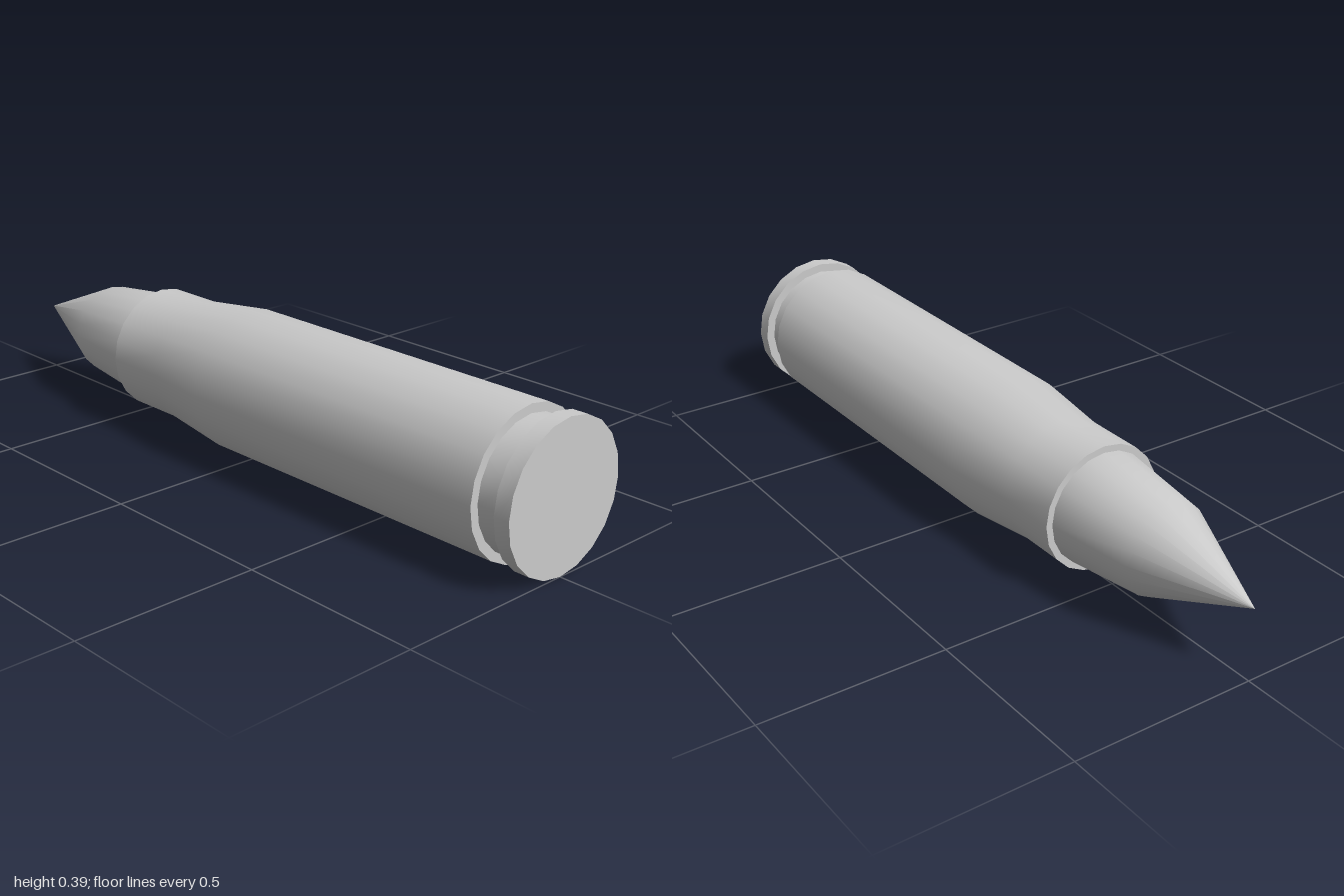
import * as THREE from 'three';
import { toCreasedNormals } from 'three/addons/utils/BufferGeometryUtils.js';

const SIDES = 20;
const RADIUS = 0.197;

const material = new THREE.MeshStandardMaterial({ color: 0xcccccc, side: THREE.DoubleSide });

// Turned part along the x axis; profile is a list of [x, radius] from nose to base
function turned(name, profile) {
  const points = profile.map(([x, r]) => new THREE.Vector2(r, x));
  const geometry = new THREE.LatheGeometry(points, SIDES);
  geometry.rotateZ(-Math.PI / 2);
  const mesh = new THREE.Mesh(toCreasedNormals(geometry, THREE.MathUtils.degToRad(40)), material);
  mesh.name = name;
  mesh.position.y = RADIUS;
  return mesh;
}

export function createModel() {
  const group = new THREE.Group();
  group.name = 'cartridge';

  // Pointed projectile seated in the case mouth
  group.add(turned('projectile', [[-1, 0], [-0.69, 0.127], [-0.45, 0.154], [-0.44, 0.154]]));

  // Case: mouth lip, neck, sloped shoulder and straight body
  group.add(turned('case', [
    [-0.45, 0.15], [-0.45, 0.172], [-0.28, 0.172], [-0.07, RADIUS], [0.89, RADIUS], [0.89, 0.173],
  ]));

  // Extractor groove and rim with its flat base
  group.add(turned('extractorGroove', [[0.89, 0.173], [0.957, 0.173]]));
  group.add(turned('rim', [[0.957, 0.173], [0.957, RADIUS], [1, RADIUS], [1, 0]]));

  return group;
}
